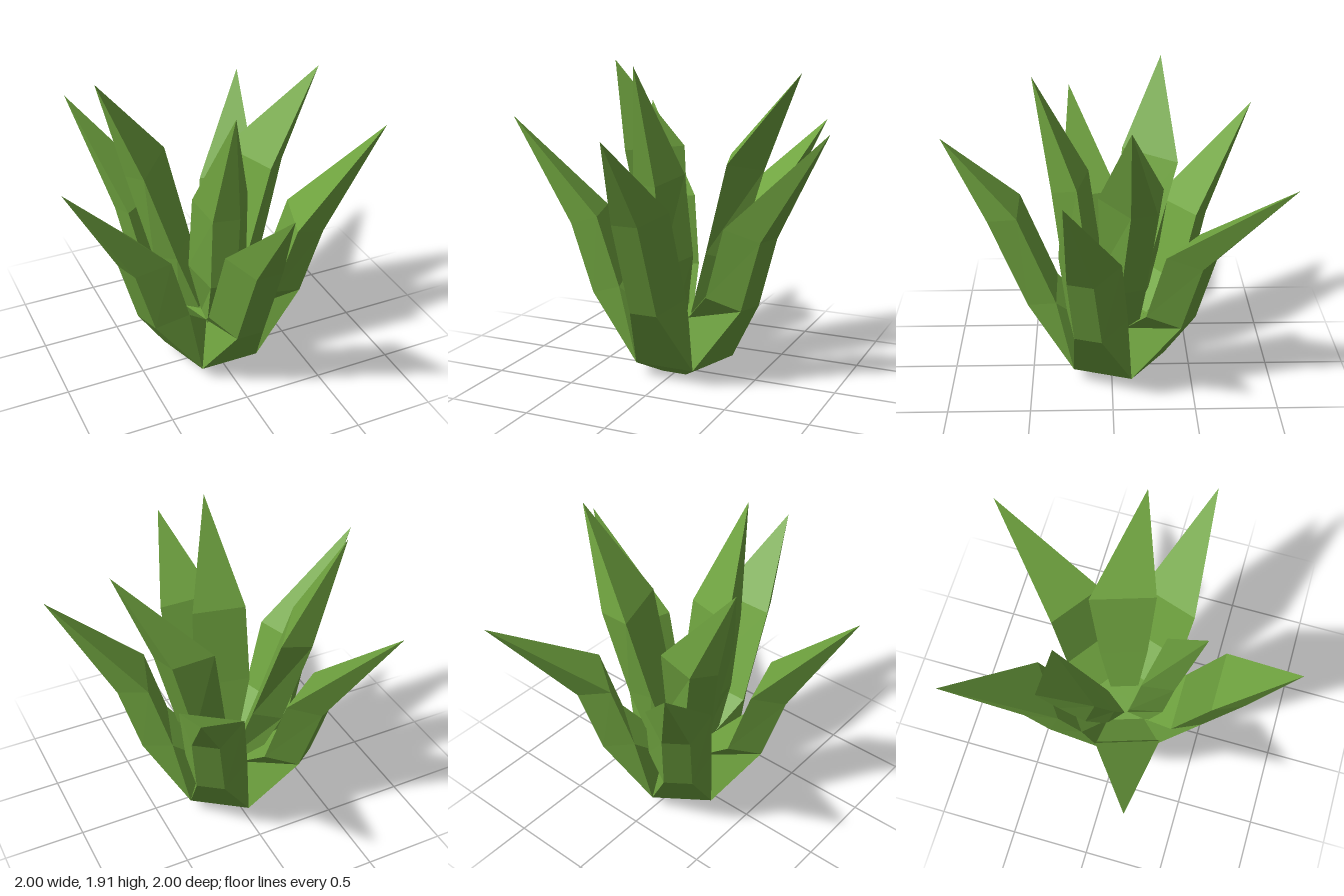
import * as THREE from 'three';

const CZ = -0.02; // z of the plant's axis

// Point at distance r along a leaf direction, offset s sideways, height y
function place(azimuth, r, s, y) {
  const sn = Math.sin(azimuth), cs = Math.cos(azimuth);
  return [r * sn + s * cs, y, CZ + r * cs - s * sn];
}

// Faceted leaf: four-sided sections [outer r, y, half width, inner r, y, half width] closing in a tip
function leafGeometry(degrees, sections, tip) {
  const az = THREE.MathUtils.degToRad(degrees);
  const points = [];
  for (const [ro, yo, wo, ri, yi, wi] of sections) {
    points.push(...place(az, ro, -wo, yo), ...place(az, ro, wo, yo));
    points.push(...place(az, ri, wi, yi), ...place(az, ri, -wi, yi));
  }
  points.push(...tip);
  const index = [];
  const last = sections.length - 1;
  for (let k = 0; k <= last; k++) {
    for (let i = 0; i < 4; i++) {
      const a = k * 4 + i, b = k * 4 + (i + 1) % 4;
      if (k < last) index.push(a, b, b + 4, a, b + 4, a + 4);
      else index.push(a, b, sections.length * 4);
    }
  }
  const indexed = new THREE.BufferGeometry();
  indexed.setAttribute('position', new THREE.Float32BufferAttribute(points, 3));
  indexed.setIndex(index);
  const geometry = indexed.toNonIndexed();
  geometry.computeVertexNormals();
  return geometry;
}

export function createModel() {
  const plant = new THREE.Group();
  plant.name = 'succulentPlant';
  const green = new THREE.MeshStandardMaterial({ color: 0x6fa33f, flatShading: true });

  function add(name, geometry) {
    const mesh = new THREE.Mesh(geometry, green);
    mesh.name = name;
    plant.add(mesh);
  }

  // Five-sided foot
  const foot = new THREE.CylinderGeometry(0.32, 0.135, 0.09, 5, 1);
  foot.rotateY(Math.PI).translate(0, 0.045, CZ);
  add('foot', foot);

  // Pentagonal heart between the leaves
  const heart = new THREE.CylinderGeometry(0.2, 0.32, 0.3, 5, 1);
  heart.rotateY(Math.PI).translate(0, 0.24, CZ);
  add('heart', heart);

  // Five outer leaves, one on each side of the foot
  const root = [0.259, 0.09, 0.188, 0.162, 0.39, 0.118];
  const bend = [0.54, 0.5, 0.085, 0.36, 0.57, 0.19];
  const frontShoulder = [0.765, 1.07, 0.08, 0.58, 1.13, 0.185];
  const shoulder = [0.67, 0.93, 0.08, 0.49, 1.0, 0.19];
  const outer = [
    ['frontLeaf', 0, frontShoulder, [0, 1.57, 1.0]],
    ['leftLeaf', 72, shoulder, [1.0, 1.57, 0.265]],
    ['backLeftLeaf', 144, shoulder, [0.615, 1.49, -1.0]],
    ['backRightLeaf', 216, shoulder, [-0.62, 1.57, -0.905]],
    ['rightLeaf', 288, shoulder, [-1.0, 1.57, 0.265]],
  ];
  for (const [name, degrees, top, tip] of outer) {
    add(name, leafGeometry(degrees, [root, bend, top], tip));
  }

  // Three taller inner leaves rising from the heart
  const innerRoot = [0.2, 0.36, 0.08, 0.065, 0.38, 0.09];
  const inner = [
    ['innerFrontLeaf', -12, [0.31, 0.72, 0.08, 0.13, 0.78, 0.18],
      [0.37, 1.22, 0.08, 0.195, 1.28, 0.165], [-0.08, 1.915, 0.46]],
    ['innerLeftLeaf', 108, [0.34, 0.72, 0.08, 0.16, 0.78, 0.15],
      [0.5, 1.28, 0.08, 0.285, 1.33, 0.2], [0.72, 1.86, -0.09]],
    ['innerRightLeaf', 232, [0.36, 0.72, 0.08, 0.19, 0.78, 0.15],
      [0.52, 1.28, 0.08, 0.36, 1.345, 0.21], [-0.6, 1.885, -0.32]],
  ];
  for (const [name, degrees, middle, top, tip] of inner) {
    add(name, leafGeometry(degrees, [innerRoot, middle, top], tip));
  }
  return plant;
}
